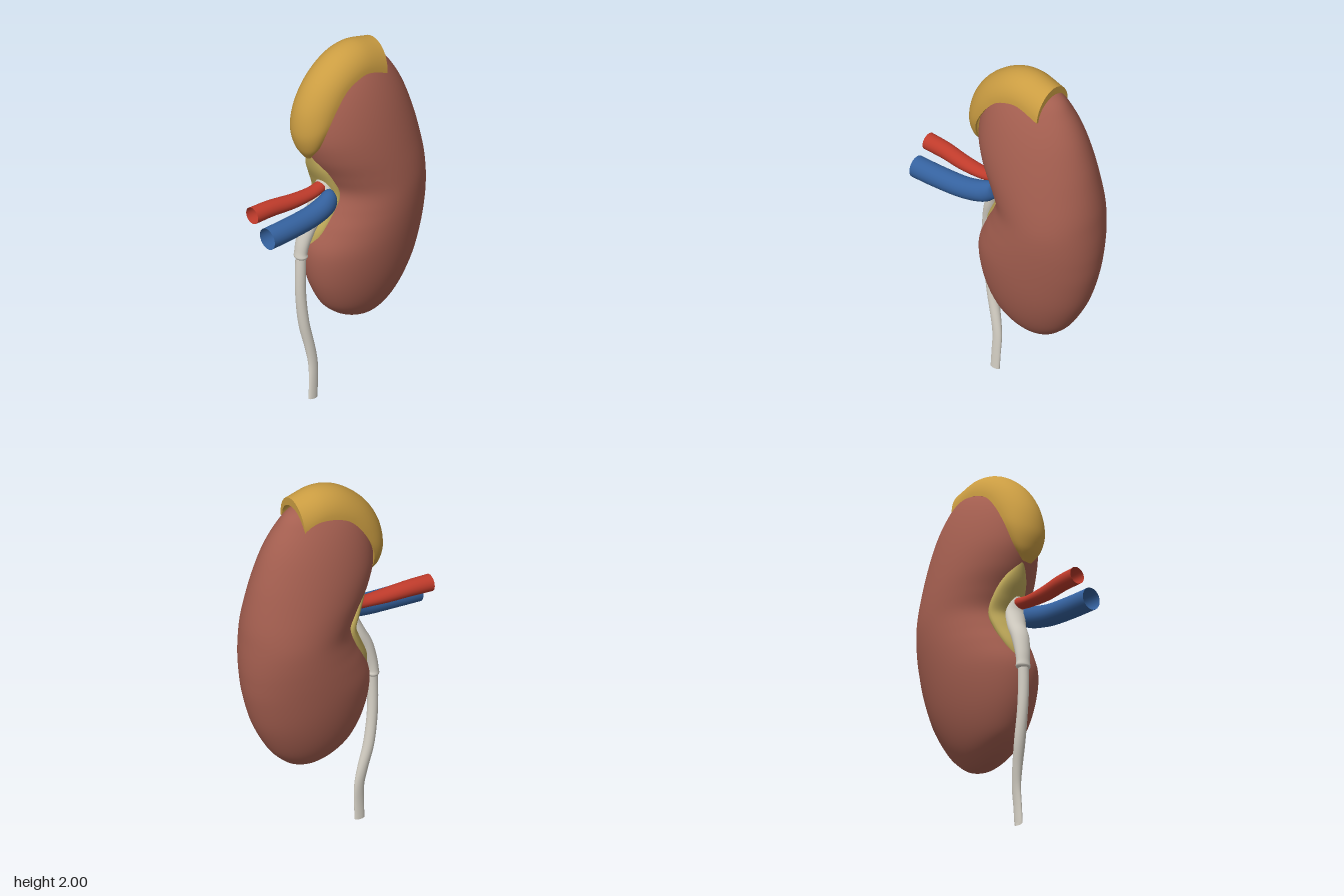
import * as THREE from 'three';
import { toCreasedNormals } from 'three/addons/utils/BufferGeometryUtils.js';

const V = (x, y, z = 0) => new THREE.Vector3(x, y, z);
const spline = (pts) => new THREE.CatmullRomCurve3(pts, false, 'catmullrom', 0.5);

function material(name, color, side = THREE.FrontSide) {
  const m = new THREE.MeshStandardMaterial({ color, side });
  m.name = name;
  return m;
}

// Skin closed rings of equal length into one smooth surface
function skin(rings) {
  const n = rings[0].length, index = [];
  for (let r = 0; r < rings.length - 1; r++) {
    for (let i = 0; i < n; i++) {
      const a = r * n + i, b = r * n + (i + 1) % n;
      index.push(a, b, b + n, a, b + n, a + n);
    }
  }
  const g = new THREE.BufferGeometry().setFromPoints(rings.flat());
  g.setIndex(index);
  g.computeVertexNormals();
  return g;
}

// Tube with changing oval section; stations are [x, y, z, radius in plane, radius in z]
function ovalTube(stations, steps = 40, sides = 24) {
  const path = spline(stations.map((s) => V(s[0], s[1], s[2])));
  const radii = spline(stations.map((s) => V(s[3], s[4])));
  const rings = [];
  for (let k = 0; k <= steps; k++) {
    const t = k / steps, p = path.getPoint(t), r = radii.getPoint(t);
    const side = path.getTangent(t).cross(V(0, 0, 1)).normalize();
    rings.push(Array.from({ length: sides }, (_, i) => {
      const a = (i / sides) * Math.PI * 2;
      return p.clone().addScaledVector(side, r.x * Math.sin(a)).add(V(0, 0, r.y * Math.cos(a)));
    }));
  }
  return skin(rings);
}

// Bean-shaped body: ellipses between the inner and outer outline
function bodyGeometry() {
  const rows = [ // y, inner x, outer x
    [0.405, 0.17, 0.17], [0.425, 0.08, 0.26], [0.47, -0.005, 0.325], [0.55, -0.085, 0.395],
    [0.7, -0.15, 0.475], [0.87, -0.17, 0.525], [1.0, -0.125, 0.543], [1.1, -0.075, 0.547],
    [1.2, -0.045, 0.543], [1.3, -0.085, 0.535], [1.42, -0.15, 0.513], [1.55, -0.185, 0.48],
    [1.7, -0.165, 0.425], [1.82, -0.1, 0.355], [1.9, 0.01, 0.28], [1.942, 0.13, 0.13]];
  const inner = spline(rows.map((r) => V(r[1], r[0])));
  const outer = spline(rows.map((r) => V(r[2], r[0])));
  const rings = [], steps = 90, sides = 56;
  for (let k = 0; k <= steps; k++) {
    const l = inner.getPoint(k / steps), r = outer.getPoint(k / steps);
    const mid = (l.x + r.x) / 2, half = (r.x - l.x) / 2;
    const depth = 0.255 * Math.sqrt(Math.max(0, 1 - ((l.y - 1.1735) / 0.7685) ** 2));
    rings.push(Array.from({ length: sides }, (_, i) => {
      const a = (i / sides) * Math.PI * 2;
      return V(mid + half * Math.cos(a), l.y, (1.175 - l.y) * 0.02 - depth * Math.sin(a));
    }));
  }
  return skin(rings);
}

// Arched shell that saddles the upper inner shoulder of the body
function capGeometry() {
  const rows = [ // ridge x, y, rim x, y, half width
    [-0.185, 1.435, -0.175, 1.445, 0.03], [-0.228, 1.5, -0.168, 1.52, 0.085],
    [-0.25, 1.6, -0.145, 1.62, 0.118], [-0.225, 1.735, -0.09, 1.725, 0.127],
    [-0.145, 1.865, -0.02, 1.81, 0.127], [-0.015, 1.967, 0.055, 1.85, 0.127],
    [0.12, 2.0, 0.135, 1.86, 0.125], [0.265, 1.97, 0.255, 1.815, 0.123]];
  const ridge = spline(rows.map((r) => V(r[0], r[1])));
  const rim = spline(rows.map((r) => V(r[2], r[3])));
  const width = spline(rows.map((r) => V(r[4], 0)));
  const rings = [], steps = 48, n = 20;
  for (let k = 0; k <= steps; k++) {
    const t = k / steps, o = ridge.getPoint(t), b = rim.getPoint(t), w = width.getPoint(t).x;
    const arc = (rise, spread) => Array.from({ length: n + 1 }, (_, i) => {
      const a = (i / n) * Math.PI;
      return b.clone().lerp(o, rise * Math.sin(a)).add(V(0, 0, -w * spread * Math.cos(a)));
    });
    rings.push([...arc(1, 1), ...arc(0.7, 0.88).reverse()]);
  }
  // Close both ends by folding the outer arc onto the inner one
  const fold = (ring) => ring.map((p, i) => (i <= n ? ring[2 * n + 1 - i] : p).clone());
  rings.unshift(fold(rings[0]));
  rings.push(fold(rings[rings.length - 1]));
  return toCreasedNormals(skin(rings), 0.7);
}

export function createModel() {
  const group = new THREE.Group();
  const flesh = material('brick flesh', 0xa55f50);
  const gold = material('golden cap', 0xcb9d42);
  const fatYellow = material('fat yellow', 0xc0aa5a);
  const red = material('artery red', 0xbf3b2b, THREE.DoubleSide);
  const blue = material('vein blue', 0x35629f, THREE.DoubleSide);
  const ivory = material('ivory', 0xd6d1c6, THREE.DoubleSide);

  const add = (name, geometry, mat) => {
    const mesh = new THREE.Mesh(geometry, mat);
    mesh.name = name;
    group.add(mesh);
  };

  add('kidneyBody', bodyGeometry(), flesh);
  add('adrenalCap', capGeometry(), gold);

  // Fat lining the notch on the inner side
  add('hilumFat', ovalTube([
    [-0.15, 1.46, -0.01, 0.012, 0.015], [-0.105, 1.36, -0.015, 0.035, 0.07],
    [-0.06, 1.27, -0.02, 0.04, 0.095], [-0.03, 1.18, -0.02, 0.04, 0.105],
    [-0.06, 1.09, -0.02, 0.04, 0.095], [-0.115, 0.98, -0.015, 0.035, 0.07],
    [-0.155, 0.87, -0.01, 0.012, 0.015]]), fatYellow);

  // Funnel that narrows to a collar around the ureter
  add('renalPelvis', ovalTube([
    [-0.07, 1.295, 0.01, 0.002, 0.002], [-0.078, 1.275, 0.01, 0.028, 0.035],
    [-0.078, 1.19, 0.01, 0.037, 0.06], [-0.11, 1.1, -0.01, 0.04, 0.055],
    [-0.15, 1.02, -0.02, 0.04, 0.05], [-0.177, 0.93, -0.03, 0.034, 0.042],
    [-0.187, 0.87, -0.035, 0.031, 0.038], [-0.187, 0.845, -0.035, 0.034, 0.04],
    [-0.186, 0.83, -0.035, 0.022, 0.025]]), ivory);

  add('ureter', ovalTube([
    [-0.187, 0.88, -0.035, 0.027, 0.028], [-0.19, 0.74, -0.035, 0.028, 0.028],
    [-0.185, 0.6, -0.038, 0.028, 0.028], [-0.165, 0.44, -0.038, 0.028, 0.03],
    [-0.135, 0.3, -0.028, 0.028, 0.024], [-0.12, 0.2, -0.02, 0.028, 0.018],
    [-0.122, 0.1, -0.014, 0.028, 0.014], [-0.127, 0, -0.012, 0.028, 0.013]]), ivory);

  // Vessels are open at the far end and rounded at the notch
  add('renalArtery', ovalTube([
    [-0.55, 1.24, 0.005, 0.045, 0.046], [-0.43, 1.24, 0.01, 0.043, 0.044],
    [-0.3, 1.232, 0.02, 0.038, 0.042], [-0.18, 1.232, 0.022, 0.03, 0.038],
    [-0.1, 1.24, 0.015, 0.03, 0.034], [-0.06, 1.245, 0.01, 0.025, 0.025]]), red);
  add('renalVein', ovalTube([
    [-0.54, 1.146, 0.11, 0.059, 0.057], [-0.4, 1.15, 0.11, 0.058, 0.057],
    [-0.25, 1.158, 0.105, 0.057, 0.056], [-0.15, 1.175, 0.095, 0.057, 0.054],
    [-0.095, 1.19, 0.08, 0.055, 0.048], [-0.067, 1.195, 0.068, 0.04, 0.035],
    [-0.058, 1.197, 0.06, 0.002, 0.002]]), blue);

  return group;
}
